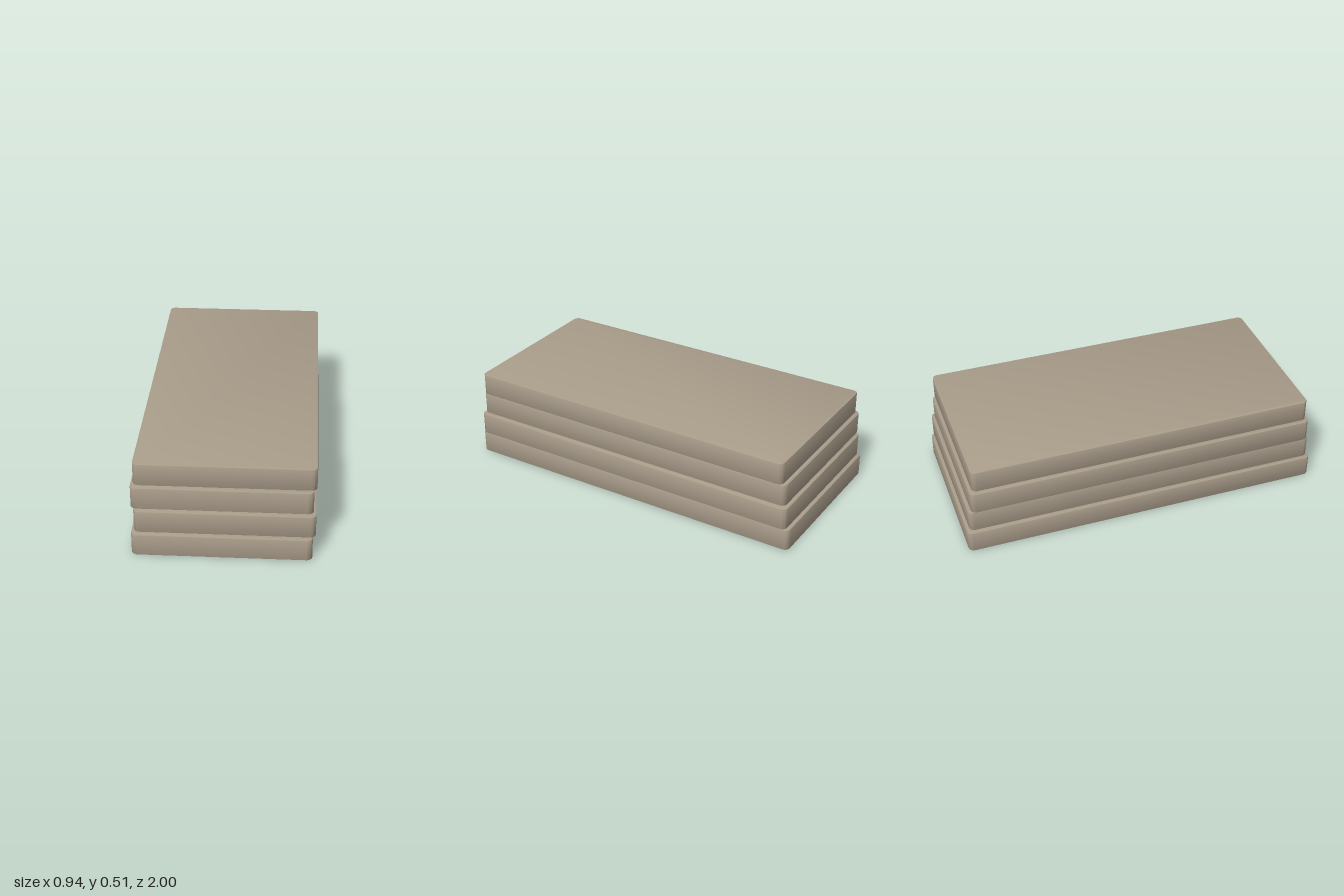
import * as THREE from 'three';
import { toCreasedNormals } from 'three/addons/utils/BufferGeometryUtils.js';

const WIDTH = 0.927, HEIGHT = 0.123, PITCH = 0.1305, CORNER = 0.03, BEVEL = 0.005;

// Plan outline with rounded corners
function outline(w, l, r) {
  const x = w / 2, y = l / 2, s = new THREE.Shape();
  s.absarc(x - r, y - r, r, 0, Math.PI / 2);
  s.absarc(-x + r, y - r, r, Math.PI / 2, Math.PI);
  s.absarc(-x + r, -y + r, r, Math.PI, Math.PI * 1.5);
  s.absarc(x - r, -y + r, r, Math.PI * 1.5, Math.PI * 2);
  s.closePath();
  return s;
}

// Flat slab lying on y = 0 with softened edges
function slabGeometry(length) {
  const shape = outline(WIDTH - 2 * BEVEL, length - 2 * BEVEL, CORNER - BEVEL);
  const geo = new THREE.ExtrudeGeometry(shape, {
    depth: HEIGHT - 2 * BEVEL, curveSegments: 6,
    bevelEnabled: true, bevelSize: BEVEL, bevelThickness: BEVEL, bevelSegments: 2,
  });
  geo.rotateX(-Math.PI / 2);
  geo.translate(0, BEVEL, 0);
  return toCreasedNormals(geo, 0.6);
}

export function createModel() {
  const model = new THREE.Group();
  model.name = 'slabStack';
  const stone = new THREE.MeshStandardMaterial({ color: 0xa99c8a });
  stone.name = 'warm grey stone';

  // Four slabs, each slightly shorter and shifted to alternate sides
  for (let i = 0; i < 4; i++) {
    const slab = new THREE.Mesh(slabGeometry(2 - i * 0.03), stone);
    slab.name = `slab${i + 1}`;
    slab.position.set(i % 2 ? 0.007 : -0.007, i * PITCH, 0);
    model.add(slab);
  }
  return model;
}
